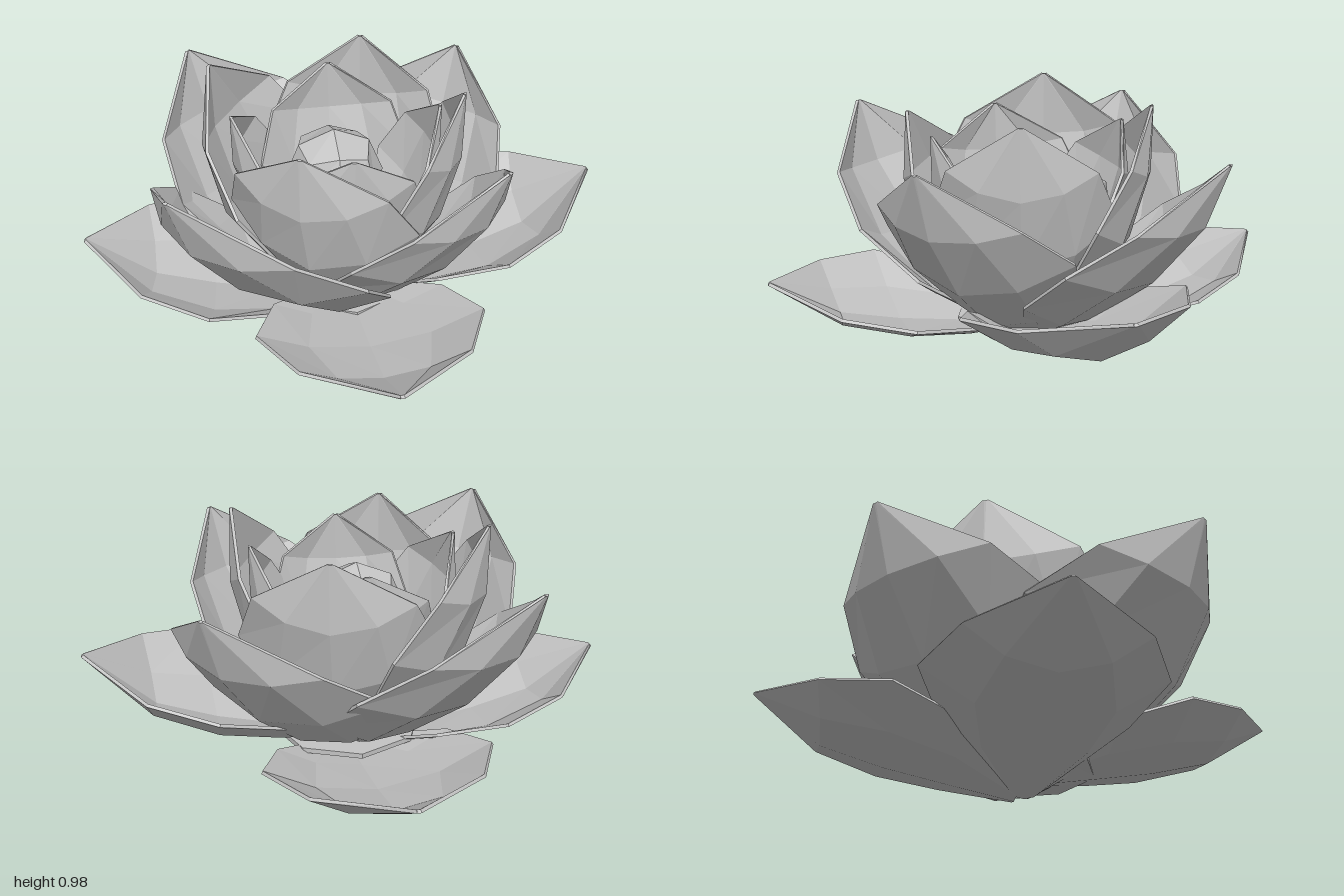
import * as THREE from 'three';

const petalGrey = new THREE.MeshStandardMaterial({ color: 0xc4c4c4 });
petalGrey.name = 'petalGrey';

// Each row: keel radius, keel height, half width, edge radius, edge height
const outerRows = [
  [0.03, 0.02, 0.06, 0.03, 0.05],
  [0.28, 0.07, 0.33, 0.3, 0.21],
  [0.52, 0.12, 0.42, 0.54, 0.285],
  [0.75, 0.19, 0.3, 0.78, 0.32],
  [1.0, 0.38, 0.006, 1.0, 0.38],
];
const middleRows = [
  [0.04, 0.04, 0.07, 0.03, 0.08],
  [0.3, 0.17, 0.39, 0.2, 0.34],
  [0.54, 0.37, 0.46, 0.4, 0.52],
  [0.73, 0.62, 0.34, 0.61, 0.67],
  [0.81, 0.86, 0.006, 0.81, 0.86],
];
const innerRows = [
  [0.04, 0.09, 0.05, 0.03, 0.14],
  [0.24, 0.22, 0.26, 0.15, 0.35],
  [0.39, 0.44, 0.36, 0.24, 0.58],
  [0.46, 0.7, 0.28, 0.36, 0.78],
  [0.46, 0.95, 0.006, 0.46, 0.95],
];
const heartRows = [
  [0.03, 0.12, 0.05, 0.02, 0.16],
  [0.2, 0.26, 0.2, 0.13, 0.34],
  [0.31, 0.47, 0.29, 0.18, 0.55],
  [0.37, 0.68, 0.23, 0.28, 0.73],
  [0.37, 0.87, 0.006, 0.37, 0.87],
];

// Curved petal shell with a thin rim, pointing along +z
function petalGeometry(rows, tipRadius, tipHeight, lift) {
  const thickness = 0.012;
  const across = [-1, -0.55, 0, 0.55, 1];
  const cols = across.length;
  const last = rows.length - 1;
  const spread = tipRadius / rows[last][0];
  const rise = (tipHeight - lift) / rows[last][1];
  const top = [];
  for (const [kr, ky, w, er, ey] of rows) {
    for (const u of across) {
      const k = u * u;
      top.push(u * w * spread, lift + (ky + (ey - ky) * k) * rise, (kr + (er - kr) * k) * spread);
    }
  }
  const count = rows.length * cols;
  const upper = [], index = [];
  const id = (i, j) => i * cols + j;
  for (let i = 0; i < last; i++) {
    for (let j = 0; j < cols - 1; j++) {
      const a = id(i, j), b = id(i + 1, j), c = id(i + 1, j + 1), d = id(i, j + 1);
      upper.push(a, b, c, a, c, d);
    }
  }
  const surface = new THREE.BufferGeometry();
  surface.setAttribute('position', new THREE.Float32BufferAttribute(top, 3));
  surface.setIndex(upper);
  surface.computeVertexNormals();
  const normals = surface.attributes.normal.array;

  // Lower skin and rim
  const positions = top.concat(top.map((v, n) => v - normals[n] * thickness));
  for (let t = 0; t < upper.length; t += 3) {
    const [a, b, c] = upper.slice(t, t + 3);
    index.push(a, b, c, a + count, c + count, b + count);
  }
  const rim = (p, q) => index.push(q, p, p + count, q, p + count, q + count);
  for (let i = 0; i < last; i++) {
    rim(id(i, 0), id(i + 1, 0));
    rim(id(i + 1, cols - 1), id(i, cols - 1));
  }
  for (let j = 0; j < cols - 1; j++) {
    rim(id(0, j + 1), id(0, j));
    rim(id(last, j), id(last, j + 1));
  }
  const shell = new THREE.BufferGeometry();
  shell.setAttribute('position', new THREE.Float32BufferAttribute(positions, 3));
  shell.setIndex(index);
  const flat = shell.toNonIndexed();
  flat.computeVertexNormals();
  return flat;
}

// Ring of petals, one for each tip position, with an optional raised base
function petalRing(name, rows, tips) {
  const ring = new THREE.Group();
  ring.name = name + 's';
  for (const [x, y, z, lift = 0] of tips) {
    const petal = new THREE.Mesh(petalGeometry(rows, Math.hypot(x, z), y, lift), petalGrey);
    petal.name = name;
    petal.rotation.y = Math.atan2(x, z);
    ring.add(petal);
  }
  return ring;
}

export function createModel() {
  const flower = new THREE.Group();
  flower.name = 'waterLilyFlower';

  flower.add(
    petalRing('outerPetal', outerRows, [
      [0.99, 0.51, -0.02, 0.04], [-1, 0.38, -0.05], [0.01, 0.38, 0.98, 0.07], [-0.03, 0.35, -0.99],
    ]),
    petalRing('middlePetal', middleRows, [
      [-0.66, 0.88, 0.52], [0.46, 0.87, 0.52], [0.57, 0.84, -0.54], [-0.54, 0.87, -0.62],
    ]),
    petalRing('innerPetal', innerRows, [
      [0.14, 0.96, -0.44], [-0.22, 0.92, 0.4], [-0.47, 0.98, -0.23], [0.4, 0.98, 0.15],
    ]),
    petalRing('heartPetal', heartRows, [
      [0, 0.88, -0.38], [-0.03, 0.86, 0.35], [-0.41, 0.88, 0], [0.35, 0.87, 0.02],
    ]),
  );

  // Faceted round bud in the middle
  const budGeometry = new THREE.BoxGeometry(1, 1, 1, 2, 2, 2).toNonIndexed();
  const p = budGeometry.attributes.position;
  const v = new THREE.Vector3();
  for (let i = 0; i < p.count; i++) {
    v.fromBufferAttribute(p, i).setLength(0.19);
    p.setXYZ(i, v.x, v.y, v.z);
  }
  budGeometry.computeVertexNormals();
  const bud = new THREE.Mesh(budGeometry, petalGrey);
  bud.name = 'centreBud';
  bud.position.set(-0.04, 0.6, -0.01);
  flower.add(bud);

  // Small plate that joins the petals underneath
  const plateGeometry = new THREE.CylinderGeometry(0.3, 0.3, 0.02, 8).toNonIndexed();
  plateGeometry.computeVertexNormals();
  const plate = new THREE.Mesh(plateGeometry, petalGrey);
  plate.name = 'basePlate';
  plate.position.set(0, 0.13, -0.02);
  flower.add(plate);

  // Stand on the ground
  const box = new THREE.Box3().setFromObject(flower);
  for (const part of flower.children) part.position.y -= box.min.y;
  return flower;
}
